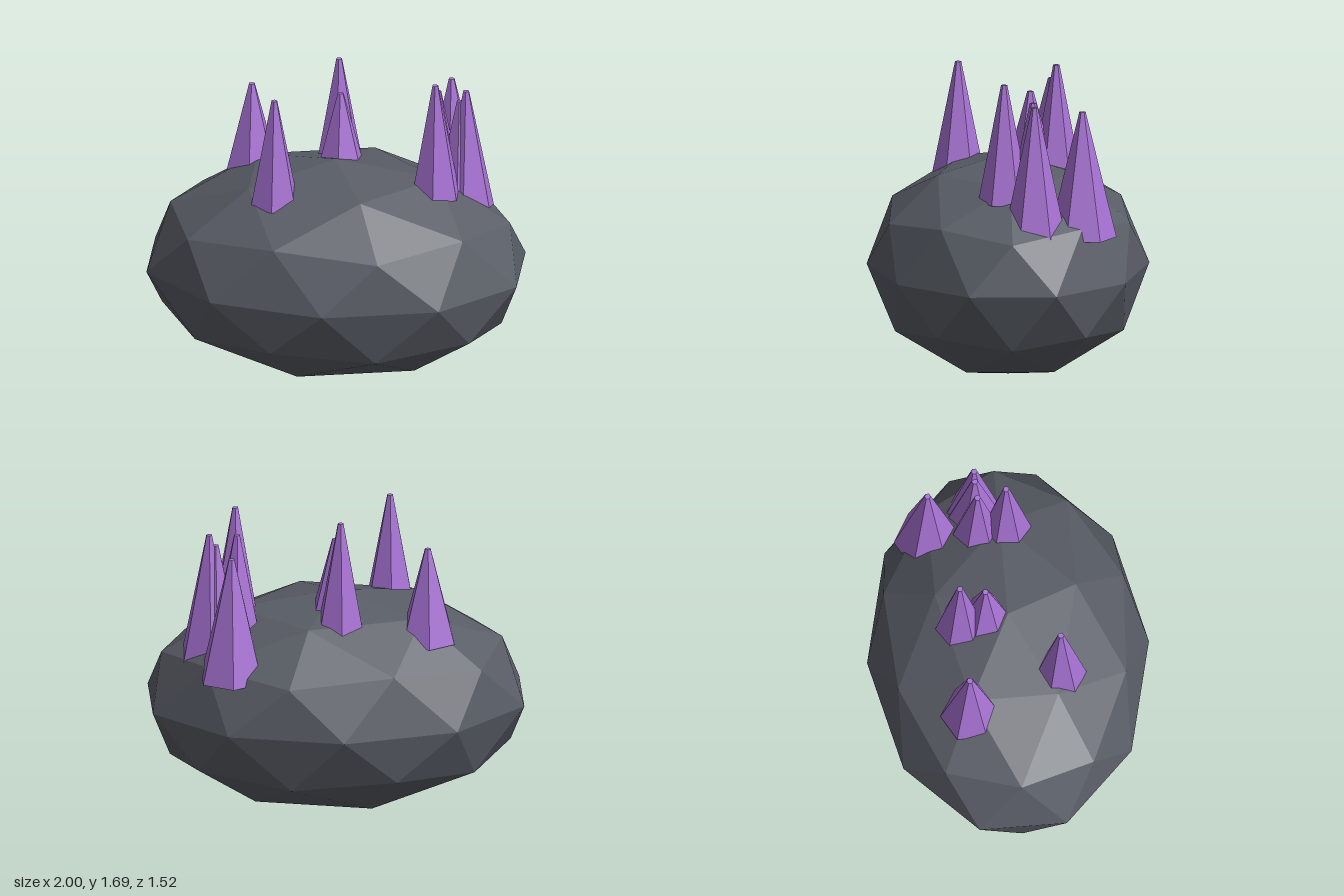
import * as THREE from 'three';

const RX = 1.0515, RY = 0.605, RZ = 0.76;

// Crystal clusters: [x, z, base y, tip y, base radius]
const CRYSTALS = [
  [-0.48, -0.245, 1.0, 1.525, 0.16],
  [-0.307, 0.26, 1.05, 1.65, 0.138],
  [-0.01, -0.26, 1.08, 1.685, 0.135],
  [0.012, -0.12, 1.1, 1.545, 0.14],
  [0.585, -0.385, 0.855, 1.54, 0.183],
  [0.54, -0.12, 1.0, 1.58, 0.14],
  [0.54, 0.035, 1.04, 1.68, 0.14],
  [0.69, -0.125, 0.87, 1.585, 0.168],
  [0.655, -0.125, 0.95, 1.525, 0.15],
];

// Faceted boulder: subdivided icosahedron turned so a corner points up
function makeRock(material) {
  const geometry = new THREE.IcosahedronGeometry(1, 1);
  geometry.rotateX(-Math.atan((1 + Math.sqrt(5)) / 2));
  geometry.rotateY(Math.PI / 2);
  geometry.scale(RX, RY, RZ);
  geometry.translate(0, RY, 0);
  geometry.computeVertexNormals();
  const rock = new THREE.Mesh(geometry, material);
  rock.name = 'rock';
  return rock;
}

// Six-sided crystal spike with a small blunt tip
function makeCrystal([x, z, baseY, tipY, radius], material) {
  const height = tipY - baseY;
  const crystal = new THREE.Mesh(new THREE.CylinderGeometry(0.017, radius, height, 6), material);
  crystal.position.set(x, baseY + height / 2, z);
  return crystal;
}

export function createModel() {
  const model = new THREE.Group();
  model.name = 'crystalRock';
  const stone = new THREE.MeshStandardMaterial({ color: 0x595d66, flatShading: true });
  const purple = new THREE.MeshStandardMaterial({ color: 0xa973d6, flatShading: true });

  model.add(makeRock(stone));

  const crystals = new THREE.Group();
  crystals.name = 'crystals';
  CRYSTALS.forEach((spec, i) => {
    const crystal = makeCrystal(spec, purple);
    crystal.name = `crystal${i + 1}`;
    crystals.add(crystal);
  });
  model.add(crystals);
  return model;
}
